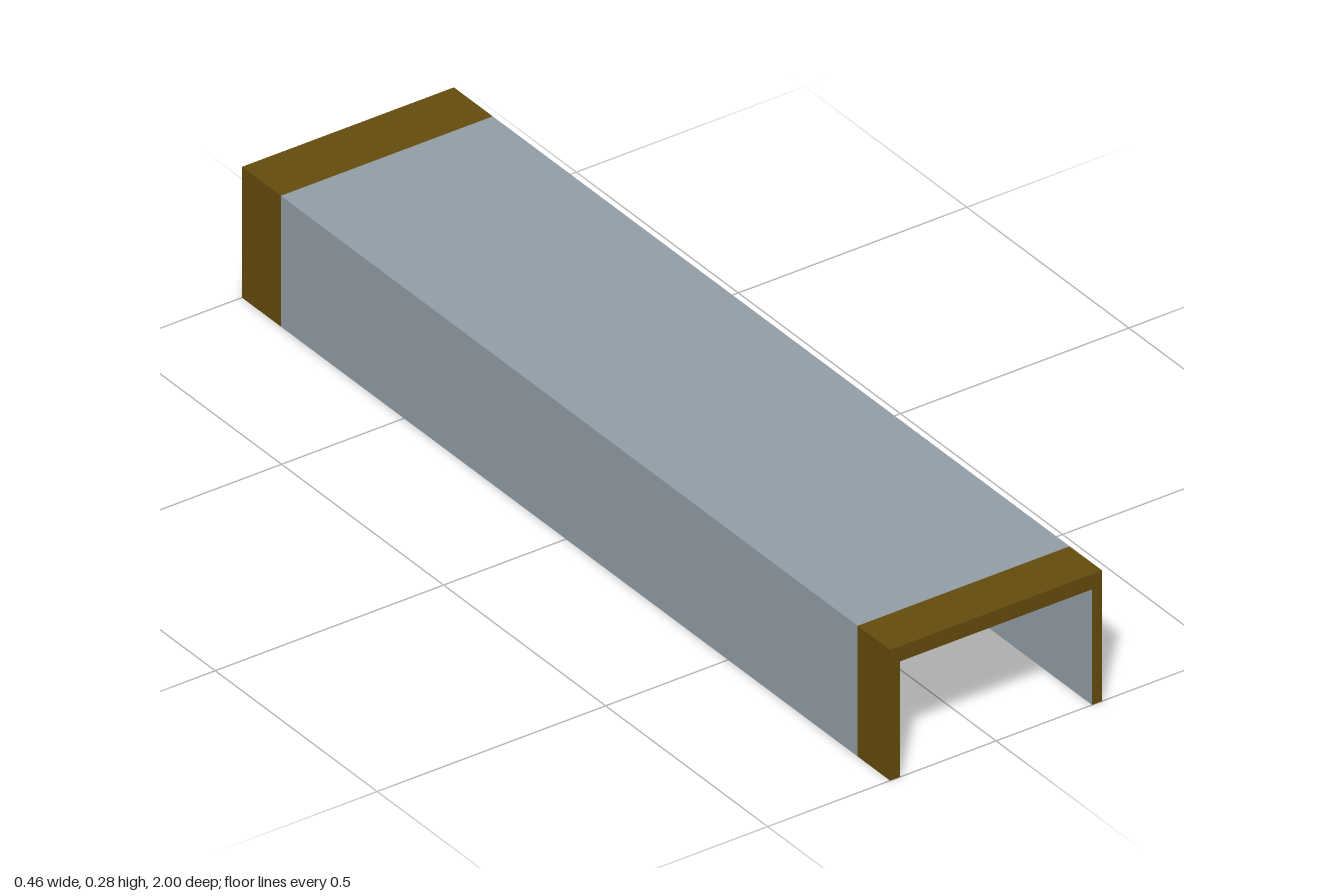
import * as THREE from 'three';

const W = 0.232, H = 0.275;    // outer half width and height
const IW = 0.21, IH = 0.243;   // inner half width and height
const BACK = -1, FRONT = 1;
const BAND_BACK = -0.88, BAND_FRONT = 0.9;

// Cross-section: outer side runs clockwise, inner side returns through both feet
const outer = [[-W, 0], [-W, H], [W, H], [W, 0]];
const inner = [[W, 0], [IW, 0], [IW, IH], [-IW, IH], [-IW, 0], [-W, 0]];

// Flat-faced wall following a section path from z0 to z1
function wall(path, z0, z1) {
  const pos = [];
  for (let i = 0; i < path.length - 1; i++) {
    const [a, b] = [path[i], path[i + 1]];
    pos.push(...a, z0, ...a, z1, ...b, z1, ...a, z0, ...b, z1, ...b, z0);
  }
  const geo = new THREE.BufferGeometry();
  geo.setAttribute('position', new THREE.Float32BufferAttribute(pos, 3));
  geo.computeVertexNormals();
  return geo;
}

// U-shaped end face
function endFace() {
  const points = [...outer, ...inner.slice(1, -1)].map(([x, y]) => new THREE.Vector2(x, y));
  return new THREE.ShapeGeometry(new THREE.Shape(points));
}

export function createModel() {
  const group = new THREE.Group();
  const grey = new THREE.MeshStandardMaterial({ color: 0x929da5 });
  const brown = new THREE.MeshStandardMaterial({ color: 0x644b0c });
  const add = (name, geo, material) => {
    const mesh = new THREE.Mesh(geo, material);
    mesh.name = name;
    group.add(mesh);
  };

  // Channel body
  add('channelOutside', wall(outer, BAND_BACK, BAND_FRONT), grey);
  add('channelInside', wall(inner, BACK, FRONT), grey);

  // Coloured bands around both ends
  add('frontBand', wall(outer, BAND_FRONT, FRONT), brown);
  add('backBand', wall(outer, BACK, BAND_BACK), brown);

  // End faces
  add('frontEnd', endFace().translate(0, 0, FRONT), brown);
  add('backEnd', endFace().rotateY(Math.PI).translate(0, 0, BACK), brown);

  return group;
}
